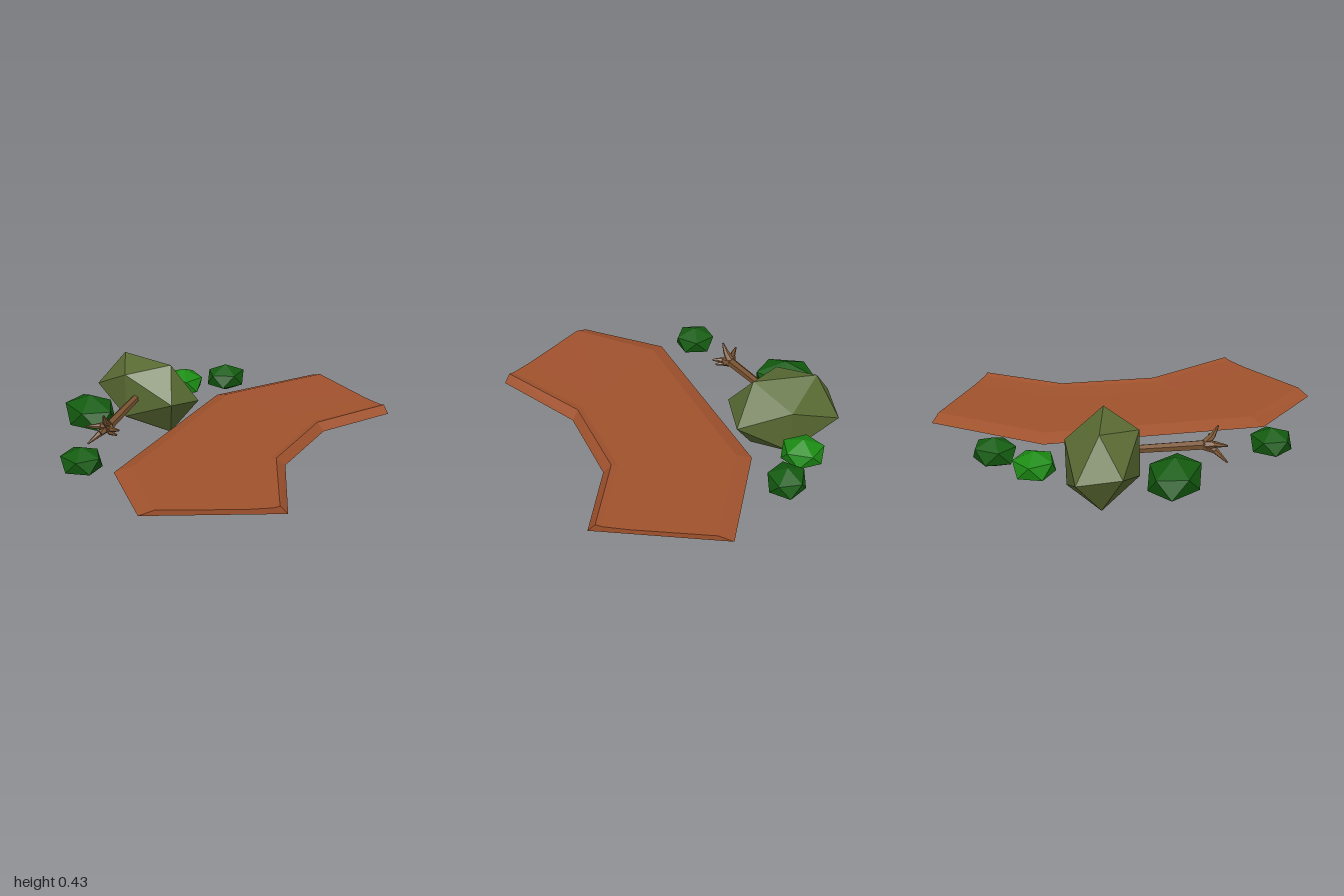
import * as THREE from 'three';

const mat = (color, side = THREE.FrontSide) =>
  new THREE.MeshStandardMaterial({ color, flatShading: true, side });

function addMesh(parent, name, geometry, material) {
  const mesh = new THREE.Mesh(geometry, material);
  mesh.name = name;
  parent.add(mesh);
  return mesh;
}

// Tapered six-sided limb between two points
function limb(parent, name, a, b, ra, rb, material) {
  const p = new THREE.Vector3(...a), q = new THREE.Vector3(...b);
  const dir = q.clone().sub(p);
  const mesh = addMesh(parent, name, new THREE.CylinderGeometry(rb, ra, dir.length(), 6), material);
  mesh.position.copy(p).lerp(q, 0.5);
  mesh.quaternion.setFromUnitVectors(new THREE.Vector3(0, 1, 0), dir.normalize());
}

// Curved slab: one cross-section repeated at four stations
function slabGeometry() {
  // [outer x, outer z, inner x, inner z]
  const stations = [
    [0.985, -0.49, 0.985, 0.265],
    [0.28, -0.53, 0.5, 0.265],
    [-0.79, 0.11, 0.045, 0.52],
    [-0.93, 0.62, -0.28, 0.995],
  ];
  // [fraction across, height]
  const profile = [[0, 0.155], [0.11, 0.185], [0.72, 0.176], [0.9, 0.181], [0.945, 0.19], [1, 0.145]];
  const n = profile.length, pos = [], index = [];
  for (const [ox, oz, ix, iz] of stations)
    for (const [t, y] of profile) pos.push(ox + (ix - ox) * t, y, oz + (iz - oz) * t);
  for (let s = 0; s < stations.length - 1; s++)
    for (let k = 0; k < n; k++) {
      const a = s * n + k, b = s * n + (k + 1) % n;
      index.push(a, a + n, b, b, a + n, b + n);
    }
  // End caps
  const last = (stations.length - 1) * n;
  for (let k = 0; k < n - 2; k++) {
    index.push(n - 1, k, k + 1);
    index.push(last + n - 1, last + k + 1, last + k);
  }
  const g = new THREE.BufferGeometry();
  g.setAttribute('position', new THREE.Float32BufferAttribute(pos, 3));
  g.setIndex(index);
  const flat = g.toNonIndexed();
  flat.computeVertexNormals();
  return flat;
}

// Faceted crown: an icosahedron sheared and stretched
function crownGeometry() {
  const g = new THREE.IcosahedronGeometry(Math.hypot(1, (1 + Math.sqrt(5)) / 2), 0);
  const m = new THREE.Matrix4().makeBasis(
    new THREE.Vector3(0.057, 0, 0.176),
    new THREE.Vector3(0.003, 0.132, 0),
    new THREE.Vector3(-0.115, 0.02, 0.035)
  );
  g.applyMatrix4(m.setPosition(-0.125, 0.215, -0.68));
  g.computeVertexNormals();
  return g;
}

// Faceted bush: an icosahedron standing on a corner
function bushGeometry(turn, rx, ry, rz) {
  const g = new THREE.IcosahedronGeometry(1, 0);
  g.rotateZ(-Math.atan(2 / (1 + Math.sqrt(5))));
  g.rotateY(turn);
  g.scale(rx / 0.894, ry, rz / 0.894);
  g.computeVertexNormals();
  return g;
}

export function createModel() {
  const model = new THREE.Group();
  model.name = 'pathWithFallenTree';

  addMesh(model, 'dirtPath', slabGeometry(), mat(0xa0522d));

  // Fallen tree
  const tree = new THREE.Group();
  tree.name = 'fallenTree';
  model.add(tree);
  addMesh(tree, 'treeCrown', crownGeometry(), mat(0x5a6b33));
  const bark = mat(0x7a5432);
  const base = [-0.575, 0.212, -0.345];
  limb(tree, 'trunk', base, [-0.22, 0.243, -0.61], 0.028, 0.023, bark);
  const roots = [
    [[-0.61, 0.255, -0.31], [-0.635, 0.31, -0.285]],
    [[-0.635, 0.225, -0.345], [-0.71, 0.235, -0.36]],
    [[-0.59, 0.215, -0.29], [-0.57, 0.225, -0.23]],
    [[-0.635, 0.185, -0.335], [-0.71, 0.132, -0.35]],
    [[-0.59, 0.195, -0.3], [-0.575, 0.19, -0.25]],
  ];
  for (const [knee, tip] of roots) {
    limb(tree, 'root', base, knee, 0.028, 0.018, bark);
    limb(tree, 'rootTip', knee, tip, 0.018, 0.005, bark);
  }

  // Bushes: x, y, z, turn, radii, colour
  const dark = mat(0x145c10), bright = mat(0x1c8c14);
  const bushes = [
    [-0.88, 0.168, -0.09, 0.2, 0.113, 0.083, 0.117, dark],
    [-0.52, 0.17, -0.675, 0, 0.137, 0.112, 0.18, dark],
    [0.21, 0.17, -0.805, 0.5, 0.113, 0.085, 0.12, bright],
    [0.475, 0.17, -0.73, 0.9, 0.12, 0.085, 0.106, dark],
  ];
  for (const [x, y, z, turn, rx, ry, rz, m] of bushes)
    addMesh(model, 'bush', bushGeometry(turn, rx, ry, rz), m).position.set(x, y, z);

  return model;
}
